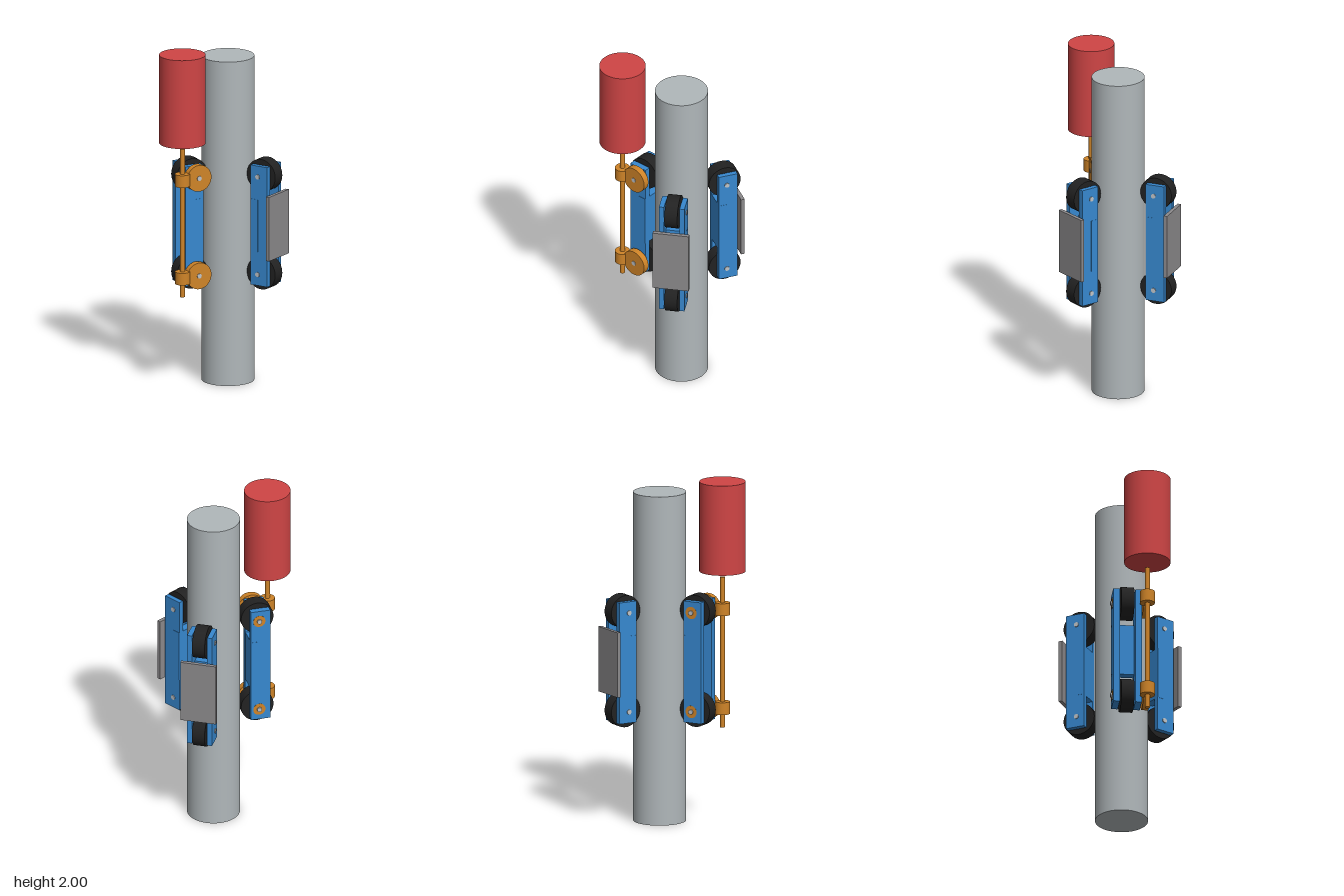
import * as THREE from 'three';

const mat = (name, color) => {
  const m = new THREE.MeshStandardMaterial({ color });
  m.name = name;
  return m;
};

export function createModel() {
  const root = new THREE.Group();
  root.name = 'poleClimber';
  const poleGrey = mat('pole grey', 0xb0b7ba);
  const red = mat('motor red', 0xcf4545);
  const blue = mat('frame blue', 0x3788cf);
  const black = mat('rubber black', 0x222222);
  const orange = mat('gear orange', 0xcf8428);
  const padGrey = mat('pad grey', 0x8c8a8c);
  const steel = mat('pin steel', 0xc0c4c8);

  const add = (parent, name, geometry, material, x, y, z) => {
    const m = new THREE.Mesh(geometry, material);
    m.name = name;
    m.position.set(x, y, z);
    parent.add(m);
    return m;
  };
  const cyl = (r, h, axis = 'y') => {
    const g = new THREE.CylinderGeometry(r, r, h, 48);
    if (axis === 'z') g.rotateX(Math.PI / 2);
    if (axis === 'x') g.rotateZ(Math.PI / 2);
    return g;
  };
  const box = (x, y, z) => new THREE.BoxGeometry(x, y, z);

  const poleX = 0.11, midY = 0.965, wheelR = 0.25;
  const wheelYs = [0.675, 1.255];

  // Pole, motor and drive rod
  add(root, 'pole', cyl(0.152, 1.925), poleGrey, poleX, 0.9625, 0);
  add(root, 'motor', cyl(0.133, 0.525), red, -0.24, 1.7375, 0.11);
  add(root, 'driveRod', cyl(0.014, 0.88), orange, -0.24, 1.0, 0.11);
  for (const y of wheelYs) add(root, 'worm', cyl(0.043, 0.072), orange, -0.24, y, 0.11);

  // Wheel carriages around the pole: local x points away from it, z runs along the axles
  const carriage = (name, angle, driven) => {
    const g = new THREE.Group();
    g.name = name;
    g.position.x = poleX;
    g.rotation.y = angle;
    root.add(g);

    const inner = 0.045, outer = driven ? 0.082 : 0.074;
    for (const s of [-1, 1]) {
      add(g, 'sidePlate', box(0.114, 0.71, outer - inner), blue, 0.258, midY, s * (inner + outer) / 2);
    }
    add(g, 'crossBrace', box(0.049, 0.31, outer * 2 + 0.002), blue, 0.2265, midY, 0);

    for (const y of wheelYs) {
      add(g, 'wheel', cyl(0.096, 0.075, 'z'), black, wheelR, y, 0);
      if (driven) {
        add(g, 'axle', cyl(0.014, 0.223, 'z'), steel, wheelR, y, -0.0195);
        add(g, 'wormWheel', cyl(0.078, 0.038, 'z'), orange, wheelR, y, -0.109);
        add(g, 'bearing', cyl(0.036, 0.006, 'z'), orange, wheelR, y, outer - 0.002);
      } else {
        add(g, 'axle', cyl(0.014, 0.158, 'z'), steel, wheelR, y, 0);
      }
    }

    // Outer pad held on two short struts
    if (!driven) {
      add(g, 'pad', box(0.022, 0.38, 0.21), padGrey, 0.336, midY, 0);
      for (const s of [-1, 1]) {
        add(g, 'padStrut', cyl(0.018, 0.09, 'x'), steel, 0.285, midY + s * 0.12, 0);
      }
    }
  };
  carriage('driveCarriage', Math.PI, true);
  carriage('rearCarriage', Math.PI / 3, false);
  carriage('frontCarriage', -Math.PI / 3, false);
  return root;
}
